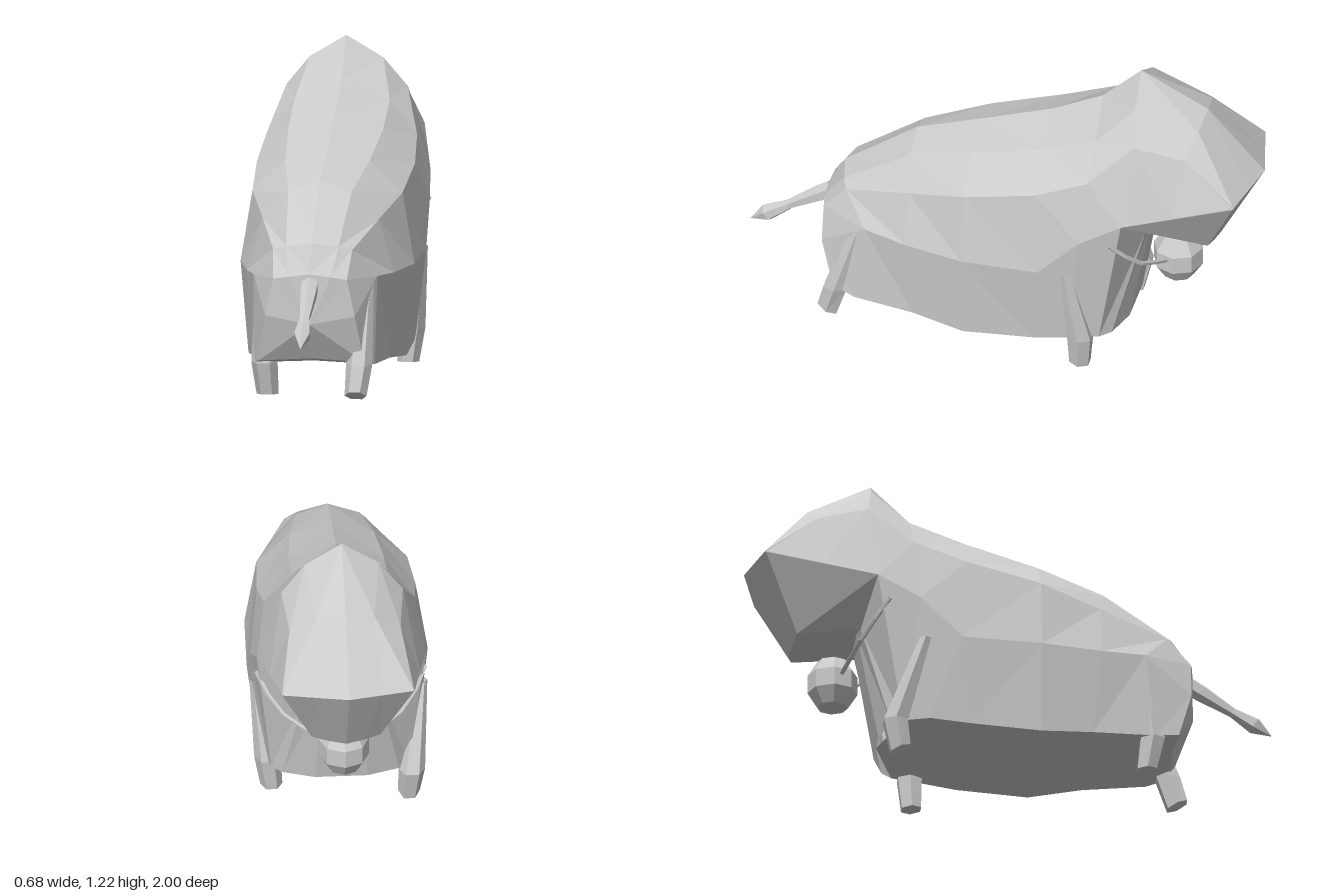
import * as THREE from 'three';

const material = new THREE.MeshStandardMaterial({ color: 0xcccccc, flatShading: true, side: THREE.DoubleSide });

// Skin a list of cross-sections (each a list of [x, y, z]), optionally mirrored in x.
function skin(rings, mirror = false) {
  const pos = [];
  const tri = (a, b, c) => {
    pos.push(...a, ...b, ...c);
    if (mirror) for (const p of [a, c, b]) pos.push(-p[0], p[1], p[2]);
  };
  for (let i = 0; i < rings.length - 1; i++) {
    for (let j = 0; j < rings[i].length - 1; j++) {
      const a = rings[i][j], b = rings[i][j + 1], c = rings[i + 1][j + 1], d = rings[i + 1][j];
      tri(a, b, c);
      tri(a, c, d);
    }
  }
  const g = new THREE.BufferGeometry();
  g.setAttribute('position', new THREE.Float32BufferAttribute(pos, 3));
  g.computeVertexNormals();
  return g;
}

// Six-sided section of a leg; tilt slopes it along z.
function hexRing([x, y, z, rx, rz, tilt = 0]) {
  return Array.from({ length: 7 }, (_, k) => {
    const a = (k % 6) * Math.PI / 3;
    return [x + rx * Math.cos(a), y + tilt * rz * Math.sin(a), z + rz * Math.sin(a)];
  });
}

export function createModel() {
  const model = new THREE.Group();
  const add = (name, geometry) => {
    const mesh = new THREE.Mesh(geometry, material);
    mesh.name = name;
    model.add(mesh);
    return mesh;
  };

  // Half sections from rump to neck: spine, back edge, upper flank, widest, belly edge, belly centre
  const body = [
    Array(6).fill([0, 0.3, 0.7]),
    [[0, 0.49, 0.69], [0.08, 0.48, 0.69], [0.14, 0.47, 0.68], [0.17, 0.33, 0.68], [0.2, 0.15, 0.63], [0, 0.16, 0.62]],
    [[0, 0.6, 0.63], [0.1, 0.585, 0.61], [0.15, 0.57, 0.59], [0.235, 0.46, 0.5], [0.23, 0.13, 0.54], [0, 0.14, 0.54]],
    [[0, 0.8, 0.35], [0.12, 0.755, 0.35], [0.22, 0.65, 0.33], [0.28, 0.45, 0.33], [0.26, 0.12, 0.3], [0, 0.12, 0.3]],
    [[0, 0.885, 0.1], [0.16, 0.84, 0.1], [0.285, 0.72, 0.1], [0.33, 0.45, 0.1], [0.3, 0.1, 0.1], [0, 0.1, 0.1]],
    [[0, 0.98, -0.17], [0.18, 0.92, -0.18], [0.3, 0.79, -0.18], [0.34, 0.46, -0.2], [0.3, 0.12, -0.17], [0, 0.12, -0.17]],
    [[0, 1.08, -0.37], [0.18, 1.0, -0.39], [0.285, 0.87, -0.38], [0.335, 0.62, -0.36], [0.29, 0.14, -0.32], [0, 0.14, -0.35]],
    [[0, 1.225, -0.52], [0.14, 1.14, -0.53], [0.23, 1.03, -0.55], [0.32, 0.715, -0.52], [0.26, 0.14, -0.42], [0, 0.14, -0.5]],
  ];
  add('body', skin(body, true));

  // Hooded head, jaw and chest, carried on from the neck section
  const cheek = [0.32, 0.715, -0.52];
  add('head', skin([
    body.at(-1).slice(0, 4),
    [[0, 1.09, -0.78], [0.11, 1.06, -0.77], [0.21, 0.99, -0.74], [0.285, 0.77, -0.73]],
    [[0, 0.84, -1], [0.125, 0.835, -0.97], [0.25, 0.83, -0.94], [0.25, 0.825, -0.94]],
    [[0, 0.52, -0.83], [0.07, 0.53, -0.82], [0.13, 0.545, -0.81], cheek],
    [[0, 0.58, -0.58], [0.07, 0.58, -0.58], [0.14, 0.57, -0.57], cheek],
    [[0, 0.14, -0.5], [0.1, 0.14, -0.5], [0.22, 0.14, -0.46], [0.26, 0.14, -0.42]],
  ], true));

  // Legs: hip point, ankle and foot, each caught in its own step
  const legs = [
    ['tailEndLeftLeg', [0.2, 0.46, 0.52], [0.18, 0.14, 0.62], [0.17, 0.025, 0.655], 0.5],
    ['tailEndRightLeg', [-0.2, 0.46, 0.49], [-0.19, 0.13, 0.53], [-0.18, 0.006, 0.51], 0.06],
    ['headEndLeftLeg', [0.31, 0.46, -0.3], [0.27, 0.14, -0.35], [0.255, 0.01, -0.345], 0.08],
    ['headEndRightLeg', [-0.31, 0.46, -0.34], [-0.27, 0.13, -0.45], [-0.26, 0.018, -0.43], 0.4],
  ];
  for (const [name, hip, ankle, foot, tilt] of legs) {
    add(name, skin([
      hexRing([...hip, 0.025, 0.025]),
      hexRing([...ankle, 0.05, 0.052]),
      hexRing([...foot, 0.042, 0.042, tilt]),
      hexRing([...foot, 0, 0]),
    ]));
  }

  // Tail with a tuft
  const profile = [[0, 0], [0.035, 0], [0.034, 0.06], [0.02, 0.2], [0.034, 0.3], [0, 0.377]];
  const tail = add('tail', new THREE.LatheGeometry(profile.map(p => new THREE.Vector2(...p)), 6));
  tail.position.set(0, 0.45, 0.68);
  tail.rotation.x = 2.13;

  // Bell hanging at the throat
  const bell = add('bell', new THREE.SphereGeometry(1, 8, 5));
  bell.scale.set(0.1, 0.115, 0.1);
  bell.position.set(0, 0.395, -0.665);

  // Cord from each side of the neck down to the bell
  for (const s of [1, -1]) {
    const path = new THREE.CatmullRomCurve3([
      new THREE.Vector3(s * 0.32, 0.62, -0.475),
      new THREE.Vector3(s * 0.24, 0.5, -0.565),
      new THREE.Vector3(s * 0.06, 0.4, -0.645),
    ]);
    add(s > 0 ? 'leftCord' : 'rightCord', new THREE.TubeGeometry(path, 4, 0.009, 5));
  }
  return model;
}
